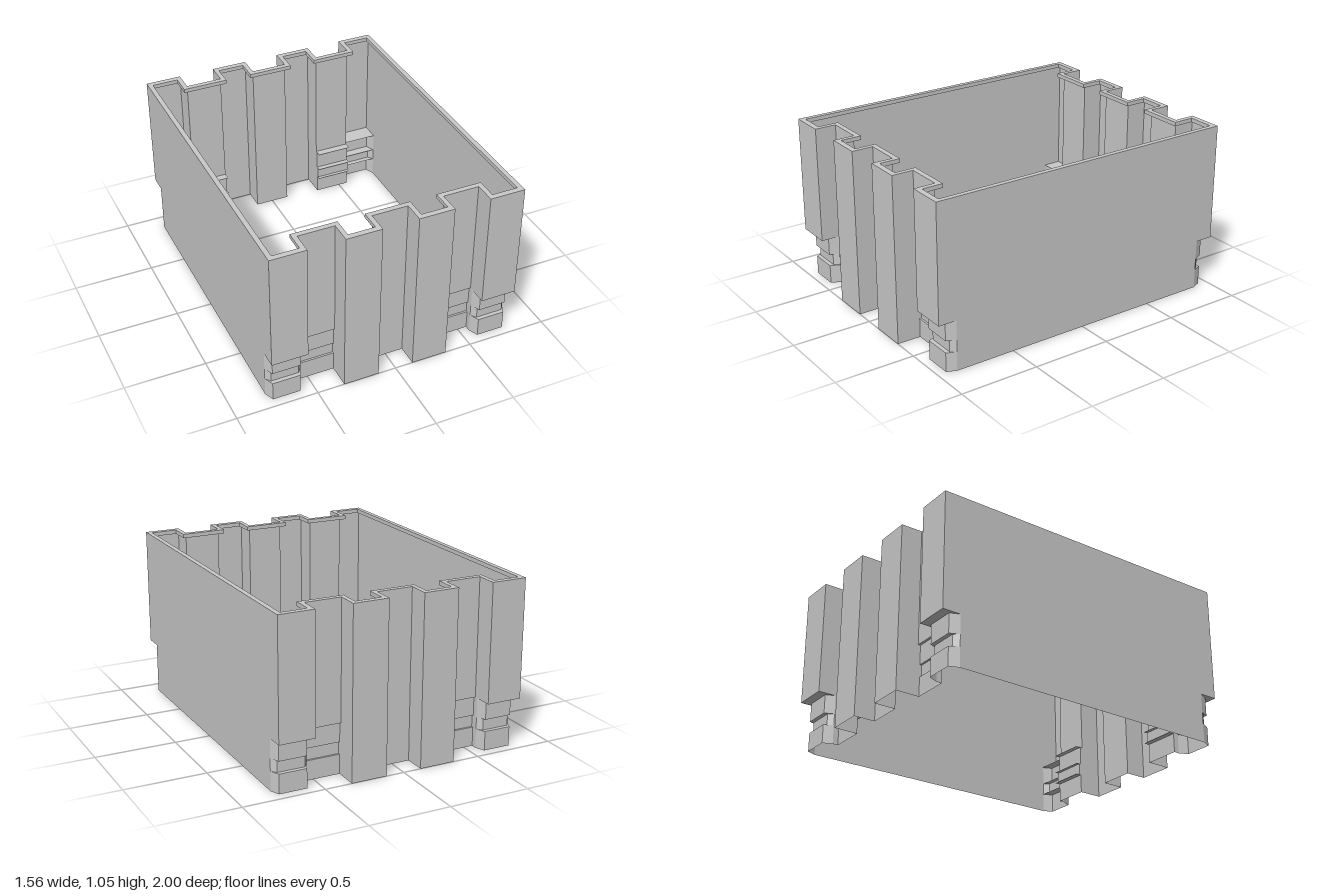
import * as THREE from 'three';

// Mirror a quarter profile (from the centre out to the side wall) into a closed outline
function outline(quarter) {
  const front = [...quarter.map(([x, z]) => [-x, z]).reverse(), ...quarter];
  const back = front.map(([x, z]) => [x, -z]).reverse();
  return [...front, ...back].map(([x, z]) => new THREE.Vector2(x, z));
}

const CORNER = [[0.558, 1], [0.78, 1]];
const foot = (z) => [[0.558, 0.885], [0.583, z], [0.755, z], [0.78, 0.885]];

// Wall quarter: recess is the channel beside the corner rib
function wallOutline(recess, rib) {
  return outline([[0.111, 0.865], [0.111, 1], [0.333, 1], [0.333, recess], [0.558, recess], ...rib]);
}

// Thin upright skin following an outline from y0 to y1
function skinGeometry(points, y0, y1) {
  const pos = [];
  points.forEach((p, i) => {
    const q = points[(i + 1) % points.length];
    pos.push(p.x, y0, p.y, q.x, y0, q.y, q.x, y1, q.y);
    pos.push(p.x, y0, p.y, q.x, y1, q.y, p.x, y1, p.y);
  });
  const geo = new THREE.BufferGeometry();
  geo.setAttribute('position', new THREE.Float32BufferAttribute(pos, 3));
  geo.computeVertexNormals();
  return geo;
}

export function createModel() {
  const group = new THREE.Group();
  const grey = new THREE.MeshStandardMaterial({ color: 0xcacaca, side: THREE.DoubleSide });
  grey.name = 'grey';

  function add(name, geo, y = 0, sx = 1, sz = 1) {
    const mesh = new THREE.Mesh(geo, grey);
    mesh.name = name;
    mesh.position.y = y;
    mesh.scale.set(sx, 1, sz);
    group.add(mesh);
  }

  // Wall skins: tall upper wall, then the set-back feet with a groove between two bands
  const upper = wallOutline(0.865, CORNER);
  const band = wallOutline(0.85, foot(0.943));
  add('corrugatedWall', skinGeometry(upper, 0.315, 1.05));
  add('upperFootBand', skinGeometry(band, 0.195, 0.315));
  add('footGroove', skinGeometry(wallOutline(0.838, foot(0.918)), 0.12, 0.195));
  add('lowerFootBand', skinGeometry(band, 0, 0.12));

  // Thick lip around the top edge
  const rim = new THREE.Shape(upper);
  rim.holes.push(new THREE.Path(outline([[0.14, 0.833], [0.14, 0.965], [0.305, 0.965], [0.305, 0.833],
    [0.588, 0.833], [0.588, 0.965], [0.75, 0.965]]).reverse()));
  const rimGeo = new THREE.ExtrudeGeometry(rim, { depth: 0.025, bevelEnabled: false });
  rimGeo.rotateX(Math.PI / 2);
  add('topRim', rimGeo, 1.05);

  // Flat shelves joining the bands at every corner
  function plate(points) {
    const shape = new THREE.Shape(points.map(([x, z]) => new THREE.Vector2(x, -z)));
    return new THREE.ShapeGeometry(shape).rotateX(-Math.PI / 2);
  }
  const channel = (z) => plate([[0.333, z], [0.558, z], [0.558, 0.815], [0.333, 0.815]]);
  const shelves = [
    [0.315, plate([[0.558, 0.88], ...CORNER, [0.78, 0.88]]), channel(0.865)],
    [0.195, plate(foot(0.943)), channel(0.85)],
    [0.12, plate(foot(0.943)), channel(0.85)],
  ];
  for (const sx of [-1, 1]) for (const sz of [-1, 1]) {
    for (const [y, ribPlate, channelPlate] of shelves) {
      add('footShelf', ribPlate, y, sx, sz);
      add('channelShelf', channelPlate, y, sx, sz);
    }
  }
  return group;
}
